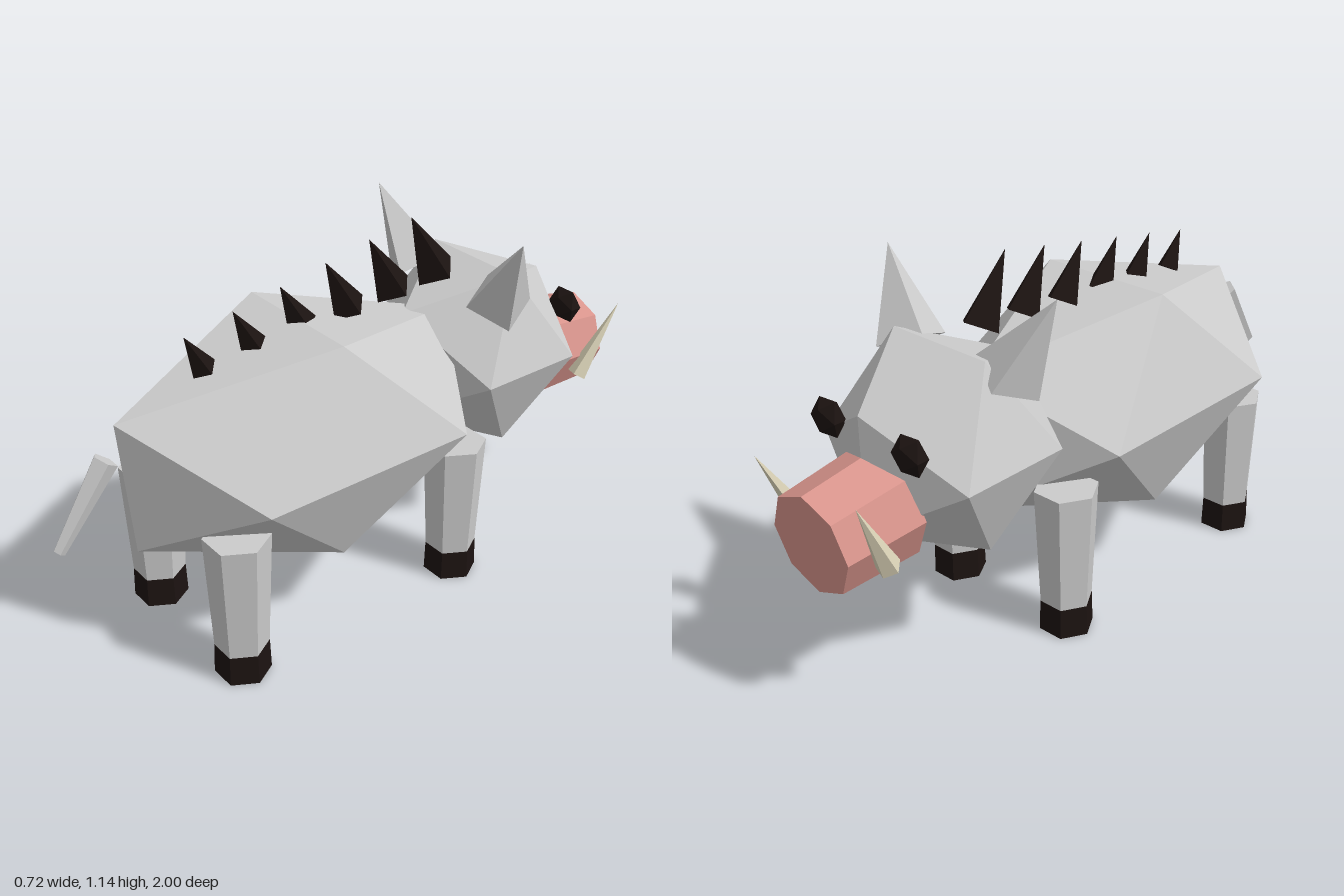
import * as THREE from 'three';

const material = (color) => new THREE.MeshStandardMaterial({ color, flatShading: true });
const hide = material(0xcccccc);
const dark = material(0x1c1311);
const pink = material(0xd8948c);
const ivory = material(0xe0d8bc);

// Faceted icosahedron stretched to the given radii
function gem(name, mat, center, radii) {
  const mesh = new THREE.Mesh(new THREE.IcosahedronGeometry(1, 0).scale(...radii), mat);
  mesh.name = name;
  mesh.position.set(...center);
  return mesh;
}

// Tapered prism or spike between two points; one corner points towards `corner`
function limb(name, mat, from, to, r0, r1, sides, corner) {
  const a = new THREE.Vector3(...from);
  const b = new THREE.Vector3(...to);
  const axis = b.clone().sub(a);
  const length = axis.length();
  axis.normalize();
  const z = new THREE.Vector3(...corner);
  z.addScaledVector(axis, -z.dot(axis)).normalize();
  const x = new THREE.Vector3().crossVectors(axis, z);
  const geometry = r1 > 0
    ? new THREE.CylinderGeometry(r1, r0, length, sides)
    : new THREE.ConeGeometry(r0, length, sides);
  geometry.applyMatrix4(new THREE.Matrix4().makeBasis(x, axis, z));
  const mesh = new THREE.Mesh(geometry, mat);
  mesh.name = name;
  mesh.position.copy(a.add(b).multiplyScalar(0.5));
  return mesh;
}

export function createModel() {
  const model = new THREE.Group();
  model.name = 'boar';

  // Body, with the rump pushed out slightly at the top
  const body = gem('body', hide, [0, 0.59, 0.18], [0.425, 0.41, 0.67]);
  const p = body.geometry.attributes.position;
  for (let i = 0; i < p.count; i++) {
    if (p.getZ(i) > 0.5 && p.getY(i) > 0) p.setZ(i, p.getZ(i) + 0.035);
  }
  body.geometry.computeVertexNormals();
  model.add(body);

  // Head and snout
  model.add(gem('head', hide, [0, 0.653, -0.51], [0.34, 0.34, 0.34]));
  model.add(limb('snout', pink, [0, 0.55, -0.73], [0, 0.527, -0.984], 0.168, 0.152, 8, [0, 1, 0]));

  for (const [side, s] of [['left', -1], ['right', 1]]) {
    // Facing -z, so the animal's left is -x
    model.add(gem(side + 'Eye', dark, [s * 0.163, 0.763, -0.77], [0.06, 0.062, 0.038]));
    model.add(limb(side + 'Ear', hide, [s * 0.19, 0.875, -0.44], [s * 0.325, 1.12, -0.39],
      0.105, 0, 4, [s * 0.075, 0, -0.195]));
    model.add(limb(side + 'Tusk', ivory, [s * 0.165, 0.475, -0.865], [s * 0.205, 0.718, -0.987],
      0.035, 0, 5, [s, 0, 0]));

    // Legs with hooves
    for (const [end, z] of [['Front', -0.25], ['Rear', 0.562]]) {
      const leg = new THREE.Group();
      leg.name = side + end + 'Leg';
      const x = s * 0.23;
      leg.add(limb('shank', hide, [x, 0.09, z], [x, 0.475, z], 0.08, 0.098, 6, [1, 0, 0]));
      leg.add(limb('hoof', dark, [x, 0, z], [x, 0.098, z], 0.084, 0.081, 6, [1, 0, 0]));
      model.add(leg);
    }
  }

  // Mane: spikes leaning back, growing towards the head
  const lean = 0.47;
  for (let i = 0; i < 6; i++) {
    const length = 0.13 + 0.019 * i;
    const y = 0.995 + 0.029 * i;
    const z = 0.553 - 0.16 * i;
    model.add(limb('maneSpike' + (i + 1), dark,
      [0, y - length * Math.cos(lean), z - length * Math.sin(lean)], [0, y, z],
      0.04 + 0.006 * i, 0, 4, [0, 0, 1]));
  }

  // Tail
  model.add(limb('tail', hide, [0, 0.71, 0.82], [0, 0.478, 0.985], 0.038, 0.018, 5, [0, 1, 1]));

  return model;
}
